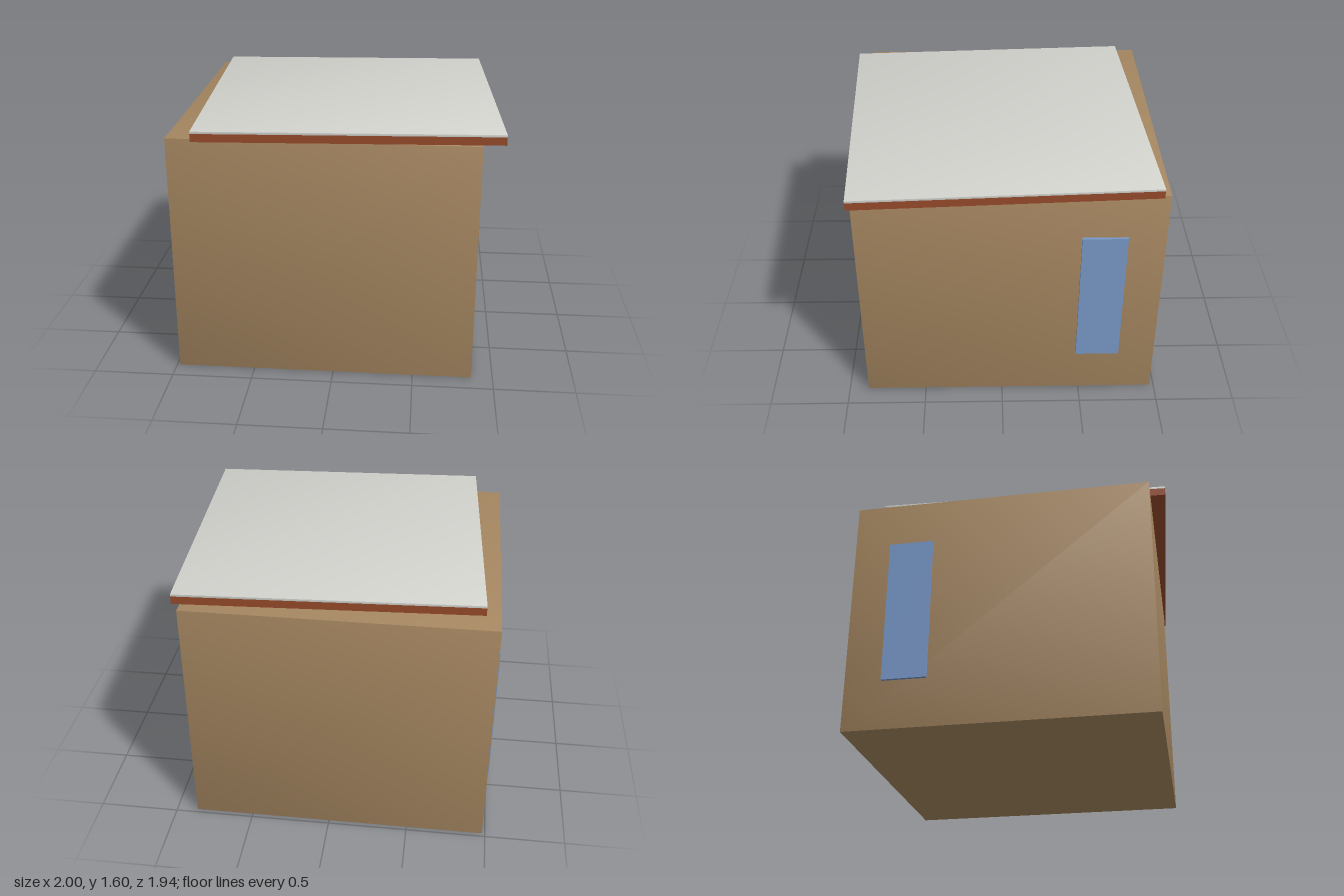
import * as THREE from 'three';

const wallTan = new THREE.MeshStandardMaterial({ name: 'wallTan', color: 0xa58660 });
const roofGrey = new THREE.MeshStandardMaterial({ name: 'roofGrey', color: 0xd2d2cd });
const rimBrown = new THREE.MeshStandardMaterial({ name: 'rimBrown', color: 0x964a2b });
const windowBlue = new THREE.MeshStandardMaterial({ name: 'windowBlue', color: 0x7898c8 });

// Box given by its lower and upper corners; soft leans each corner normal gently outwards
function box(name, material, min, max, soft = 0) {
  const size = max.map((v, i) => v - min[i]);
  const geometry = new THREE.BoxGeometry(...size);
  const { position, normal } = geometry.attributes;
  const n = new THREE.Vector3();
  const corner = new THREE.Vector3();
  for (let i = 0; i < position.count; i++) {
    corner.fromBufferAttribute(position, i);
    corner.set(Math.sign(corner.x), Math.sign(corner.y), Math.sign(corner.z));
    n.fromBufferAttribute(normal, i).addScaledVector(corner, soft).normalize();
    normal.setXYZ(i, n.x, n.y, n.z);
  }
  const mesh = new THREE.Mesh(geometry, material);
  mesh.name = name;
  mesh.position.set(...max.map((v, i) => (v + min[i]) / 2));
  return mesh;
}

export function createModel() {
  const model = new THREE.Group();
  model.name = 'hut';

  // Walls
  model.add(box('walls', wallTan, [-0.982, 0, -0.973], [0.867, 1.521, 0.877], 0.2));

  // One tall window on each side wall, near the back
  model.add(box('leftWindow', windowBlue, [0.86, 0.305, -0.745], [0.885, 1.228, -0.472]));
  model.add(box('rightWindow', windowBlue, [-1, 0.305, -0.745], [-0.975, 1.228, -0.472]));

  // Flat roof, shifted and slightly turned: brown slab with a grey sheet on top
  const roof = new THREE.Group();
  roof.name = 'roof';
  roof.position.set(0.051, 0, 0.023);
  roof.rotation.y = 0.049;
  roof.add(box('roofSlab', rimBrown, [-0.904, 1.534, -0.904], [0.904, 1.583, 0.904]));
  roof.add(box('roofSheet', roofGrey, [-0.904, 1.583, -0.904], [0.904, 1.597, 0.904], 0.2));
  model.add(roof);

  return model;
}
